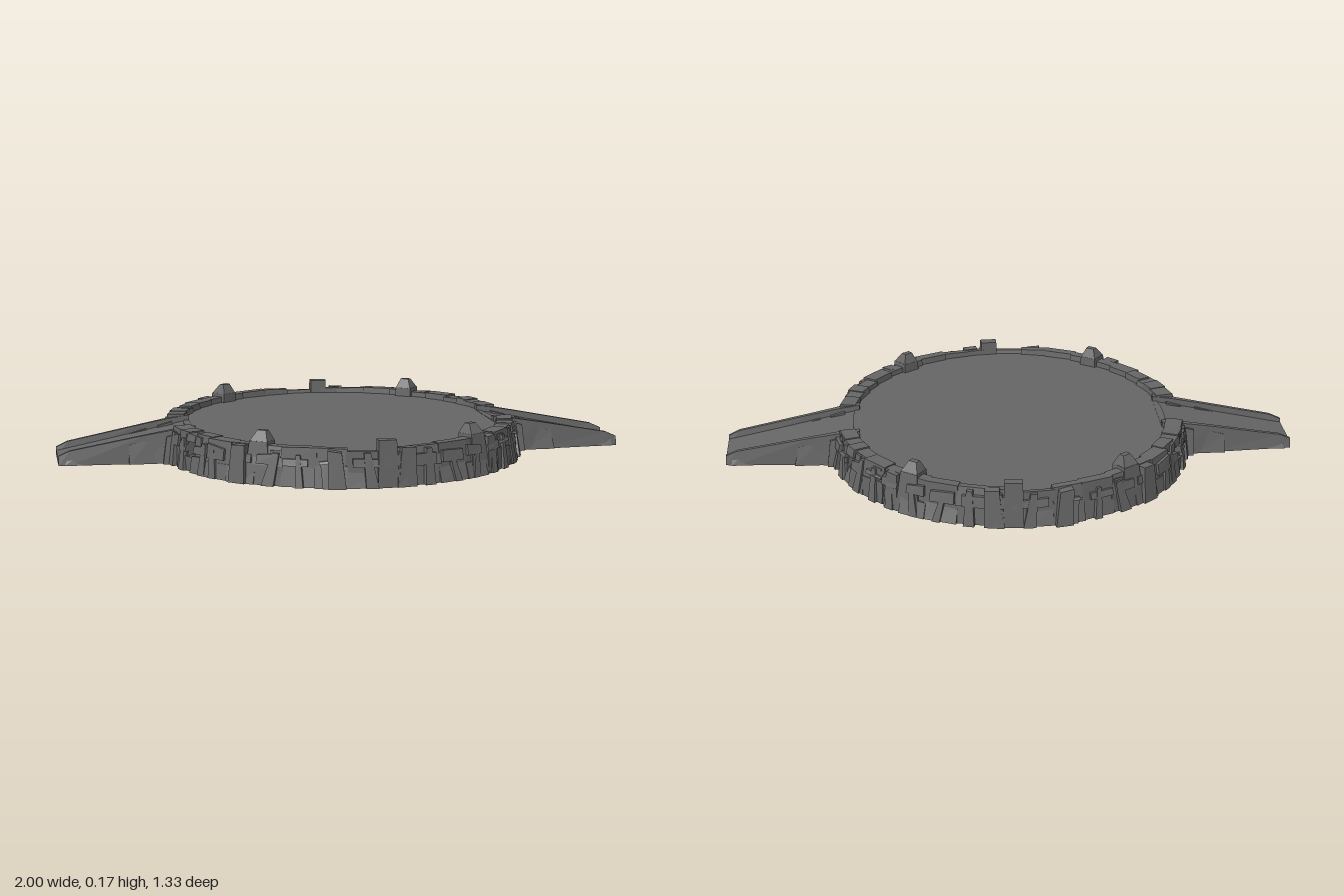
import * as THREE from 'three';

const stone = new THREE.MeshStandardMaterial({ color: 0x666666 });
stone.name = 'dark stone';

const RAD = Math.PI / 180;
let seed = 11;
const rand = () => (seed = (seed * 16807) % 2147483647) / 2147483647;
const jitter = (amount) => (rand() * 2 - 1) * amount;

// Six-sided solid whose corners (u -0.5..0.5, v 0..1, w 0..1) are placed by a rule
function solid(parent, name, place, uSegments = 1) {
  const box = new THREE.BoxGeometry(1, 1, 1, uSegments, 1, 1);
  const p = box.attributes.position;
  for (let i = 0; i < p.count; i++) {
    p.setXYZ(i, ...place(p.getX(i), p.getY(i) + 0.5, p.getZ(i) + 0.5));
  }
  const geometry = box.toNonIndexed();
  geometry.computeVertexNormals();
  const mesh = new THREE.Mesh(geometry, stone);
  mesh.name = name;
  parent.add(mesh);
  return mesh;
}

// Inner edge of the rim, slightly wider along z
const innerRadius = (deg) =>
  1 / Math.hypot(Math.cos(deg * RAD) / 0.545, Math.sin(deg * RAD) / 0.602);
// Outer edge of the rim
const outerRadius = (deg) => 0.615 + 0.028 * Math.sin(deg * RAD);

// Stone on the ring, made on both the front and the back half
function ringStone(parent, name, o) {
  const { a, width, rIn, rBottom, rTop, y0, y1, skew = 0, taper = 1, rInTop = rIn, tilt = 0 } = o;
  for (const side of [1, -1]) {
    solid(parent, name, (u, v, w) => {
      const angle = (side * (a + skew * (v - 0.5)) - u * width * (v ? taper : 1)) * RAD;
      const inner = v ? rInTop : rIn;
      const r = inner + ((v ? rTop : rBottom) - inner) * w;
      const y = v ? y1 + tilt * u * side : y0;
      return [Math.cos(angle) * r, y, Math.sin(angle) * r];
    });
  }
}

function disc(parent, name, rx, rz, y, height) {
  const mesh = new THREE.Mesh(new THREE.CylinderGeometry(1, 1, height, 64), stone);
  mesh.scale.set(rx, 1, rz);
  mesh.position.y = y + height / 2;
  mesh.name = name;
  parent.add(mesh);
}

function buildRim(root) {
  const rim = new THREE.Group();
  rim.name = 'rockyRim';
  root.add(rim);
  const cuts = [11, 18, 23.3, 27.6, 35, 44, 52, 60, 70, 80, 89, 99, 108, 118, 127, 136, 145,
    152.4, 156.7, 162, 169];
  for (let i = 0; i < cuts.length - 1; i++) {
    const a = (cuts[i] + cuts[i + 1]) / 2;
    const span = cuts[i + 1] - cuts[i];
    const width = span + 0.6;
    const rIn = innerRadius(a);
    const rOut = outerRadius(a);
    const isWindow = span < 4.5;
    const isLow = a > 89 && a < 99;
    const split = isWindow ? 0.05 : 0.062 + jitter(0.012);
    const top = isLow ? 0.119 : 0.127 + jitter(0.003);
    // Lower course, leaning inward
    ringStone(rim, 'lowerWallStone', {
      a, width, rIn, rBottom: rOut + 0.012 + jitter(0.008), rTop: rOut + jitter(0.006),
      y0: 0, y1: split, tilt: isWindow ? 0 : jitter(0.01),
    });
    // Upper course, with a see-through opening in the window bays
    ringStone(rim, 'upperWallStone', {
      a, width, rIn, rBottom: rOut + jitter(0.006), rTop: rOut - 0.012 + jitter(0.006),
      y0: isWindow ? 0.1 : split - 0.008, y1: top, rInTop: rIn + (isLow ? 0.02 : 0.008),
      tilt: jitter(0.004),
    });
    if (isWindow) continue;
    // Slanted shards and ledges on the outside
    ringStone(rim, 'slantedShard', {
      a: a + jitter(span * 0.25), width: 2 + rand() * 2, rIn: rIn + 0.02,
      rBottom: rOut + 0.02, rTop: rOut + 0.003, y0: 0,
      y1: 0.085 + rand() * 0.035, skew: jitter(3), taper: 0.55,
    });
    ringStone(rim, 'ledge', {
      a: a + jitter(1), width: span * 0.75, rIn: rIn + 0.02,
      rBottom: rOut + 0.01, rTop: rOut + 0.004, y0: 0.075 + jitter(0.015),
      y1: 0.1 + jitter(0.01), tilt: jitter(0.012),
    });
  }

  // Blocks that stand out: angle, width, outer radius, height
  const blocks = [
    [14, 3.5, 0.625, 0.12], [21.5, 3, 0.632, 0.118], [29.5, 3.4, 0.632, 0.122],
    [41, 4.5, 0.64, 0.12], [48, 5, 0.65, 0.125], [81, 5.5, 0.662, 0.128],
    [102, 5, 0.672, 0.122], [132, 5.5, 0.662, 0.125], [120, 4, 0.645, 0.115],
    [150.5, 3.4, 0.632, 0.122], [159, 3.4, 0.632, 0.12], [166, 3.2, 0.625, 0.12],
  ];
  for (const [a, width, r, y1] of blocks) {
    ringStone(rim, 'buttress', {
      a, width, rIn: innerRadius(a) + 0.02, rBottom: r, rTop: r - 0.012,
      y0: 0, y1, skew: jitter(1.5), taper: 0.8, tilt: jitter(0.008),
    });
  }

  // Tall pointed stones, and a short nub at the middle of each half
  for (const a of [54, 126]) {
    ringStone(rim, 'tallStoneBase', {
      a, width: 8, rIn: 0.565, rBottom: 0.65, rTop: 0.63, y0: 0, y1: 0.14, taper: 0.75, rInTop: 0.57,
    });
    ringStone(rim, 'tallStonePeak', {
      a, width: 6, rIn: 0.57, rBottom: 0.63, rTop: 0.605, y0: 0.138, y1: 0.173, taper: 0.5, rInTop: 0.585,
    });
  }
  ringStone(rim, 'nub', {
    a: 87, width: 6, rIn: 0.6, rBottom: 0.658, rTop: 0.645, y0: 0, y1: 0.155, taper: 0.9, rInTop: 0.61,
  });
}

function buildRamp(root, dir) {
  const ramp = new THREE.Group();
  ramp.name = dir > 0 ? 'leftRamp' : 'rightRamp';
  ramp.rotation.y = dir > 0 ? 0 : Math.PI;
  root.add(ramp);
  const lerp = THREE.MathUtils.lerp;

  // Sloping walkway
  solid(ramp, 'walkway', (u, v, w) => {
    const t = u + 0.5;
    const half = lerp(0.125, 0.088, t);
    return [lerp(0.53, 1, t), v ? lerp(0.109, 0.02, t) : 0, (w * 2 - 1) * half];
  });

  // Curbs in three lengths: x, height, inner z, outer z at the top, outer z at the foot
  const stations = [
    [0.53, 0.126, 0.103, 0.128, 0.14], [0.6, 0.117, 0.1, 0.122, 0.135],
    [0.7, 0.099, 0.096, 0.112, 0.12], [0.96, 0.05, 0.083, 0.096, 0.104],
    [1, 0.032, 0.082, 0.093, 0.1],
  ];
  for (const side of [1, -1]) {
    for (let i = 0; i < stations.length - 1; i++) {
      solid(ramp, 'curb', (u, v, w) => {
        const [x, y, inner, outerTop, outerFoot] = stations[u * side < 0 ? i : i + 1];
        return [x, v ? y : 0, side * lerp(inner - (v ? 0 : 0.008), v ? outerTop : outerFoot, w)];
      });
    }
    // Rough stones along the outside of the curb
    for (const [x, length, z, h] of [[0.61, 0.07, 0.142, 0.1], [0.71, 0.1, 0.125, 0.075], [0.95, 0.06, 0.107, 0.035]]) {
      const lean = jitter(0.015);
      solid(ramp, 'curbStone', (u, v, w) => [
        x + u * side * length * (v ? 0.75 : 1) + (v ? lean : 0),
        v ? h - u * side * length * 0.2 : 0,
        side * lerp(0.085, z - (v ? 0.012 : 0), w),
      ]);
    }
  }
}

export function createModel() {
  const root = new THREE.Group();
  root.name = 'roundStonePlatform';
  disc(root, 'deck', 0.555, 0.612, 0.101, 0.007);
  disc(root, 'base', 0.615, 0.64, 0, 0.01);
  buildRim(root);
  buildRamp(root, 1);
  buildRamp(root, -1);
  return root;
}
